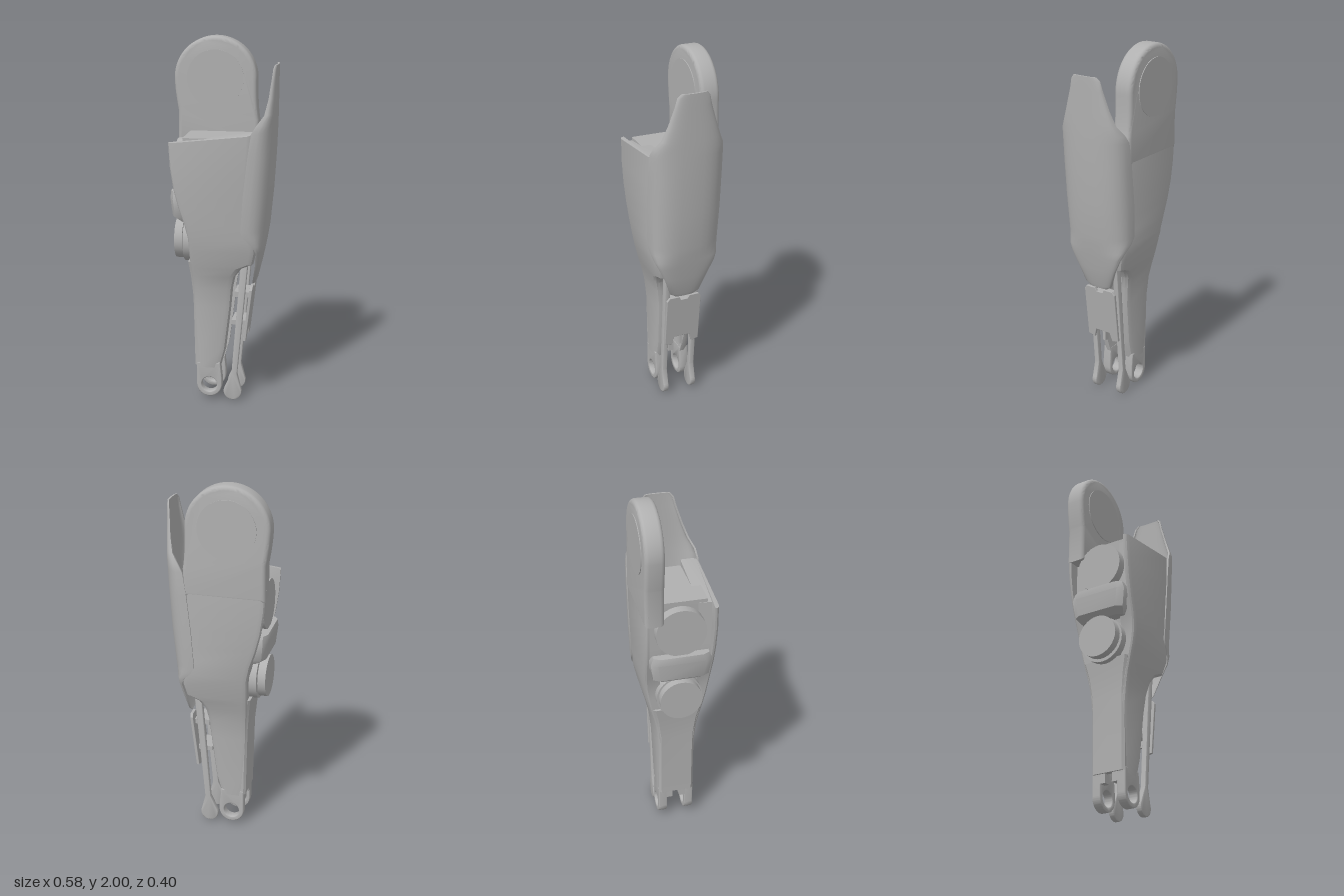
import * as THREE from 'three';
import { toCreasedNormals } from 'three/addons/utils/BufferGeometryUtils.js';

const V2 = (x, y) => new THREE.Vector2(x, y);

// Closed solid through horizontal sections (lists of [x, y, z]), lowest first
function loft(sections, crease = 0.6) {
  const flat = s => s.map(p => V2(p[0], p[2]));
  const rows = sections.map(s => (THREE.ShapeUtils.isClockWise(flat(s)) ? [...s].reverse() : s));
  const n = rows[0].length, last = rows.length - 1;
  const idx = [];
  for (let j = 0; j < last; j++) {
    for (let i = 0; i < n; i++) {
      const a = j * n + i, b = j * n + (i + 1) % n, c = b + n, d = a + n;
      idx.push(a, d, b, b, d, c);
    }
  }
  THREE.ShapeUtils.triangulateShape(flat(rows[0]), []).forEach(([a, b, c]) => idx.push(a, b, c));
  THREE.ShapeUtils.triangulateShape(flat(rows[last]), [])
    .forEach(([a, b, c]) => idx.push(last * n + a, last * n + c, last * n + b));
  const g = new THREE.BufferGeometry();
  g.setAttribute('position', new THREE.Float32BufferAttribute(rows.flat(2), 3));
  g.setIndex(idx);
  return toCreasedNormals(g, crease);
}

// Extrusion between two z values, with an optional bevel kept inside the outline
function slab(shape, z0, z1, bevel = 0) {
  const g = new THREE.ExtrudeGeometry(shape, {
    depth: z1 - z0 - 2 * bevel, curveSegments: 28, bevelEnabled: bevel > 0,
    bevelSize: bevel, bevelThickness: bevel, bevelOffset: -bevel, bevelSegments: 4,
  });
  g.translate(0, 0, z0 + bevel);
  return toCreasedNormals(g, 0.6);
}

export function createModel() {
  const group = new THREE.Group();
  const grey = new THREE.MeshStandardMaterial({ color: 0xb0b0b0 });
  const add = (name, geo) => {
    const m = new THREE.Mesh(geo, grey);
    m.name = name;
    group.add(m);
    return m;
  };
  const box = (name, x0, x1, y0, y1, z0, z1) =>
    add(name, new THREE.BoxGeometry(x1 - x0, y1 - y0, z1 - z0)
      .translate((x0 + x1) / 2, (y0 + y1) / 2, (z0 + z1) / 2));

  // Side plates: y, left x, right x, inner z, outer z
  const plateRows = [
    [0.19, -0.14, -0.01, 0.05, 0.1], [0.3, -0.145, 0.02, 0.06, 0.102],
    [0.55, -0.152, 0.05, 0.07, 0.107], [0.66, -0.155, 0.06, 0.075, 0.118],
    [0.73, -0.16, 0.075, 0.08, 0.132], [0.78, -0.163, 0.11, 0.09, 0.145],
    [0.81, -0.165, 0.175, 0.09, 0.152], [0.88, -0.168, 0.19, 0.1, 0.168],
    [0.95, -0.172, 0.18, 0.1, 0.18], [1.03, -0.19, 0.15, 0.1, 0.188],
    [1.12, -0.22, 0.15, 0.1, 0.192], [1.22, -0.245, 0.155, 0.1, 0.195],
    [1.34, -0.262, 0.165, 0.1, 0.197], [1.49, -0.27, 0.175, 0.1, 0.195],
  ];
  for (const s of [1, -1]) {
    const rows = plateRows.map(([y, l, r, zi, zo], j) => {
      // the open left lip is thin, the right edge is rounded
      const lip = y > 1.05 ? zo - 0.025 : zi;
      const core = y > 1.05 ? Math.max(l + 0.015, -0.205) : l + 0.01;
      const top = x => (j === plateRows.length - 1 ? y - 0.02 + Math.max(0, x) * 0.3 : y);
      return [[l, lip], [core, lip], [core + 0.005, zi], [r, zi], [r, zo - 0.025], [r - 0.008, zo - 0.01],
        [r - 0.03, zo], [l + 0.025, zo], [l + 0.006, zo - 0.007], [l, zo - 0.015]]
        .map(([x, z]) => [x, top(x), z * s]);
    });
    add(s > 0 ? 'frontPlate' : 'backPlate', loft(rows, 0.5));

    // Ankle eye at the end of each plate
    const eye = new THREE.Shape();
    eye.moveTo(-0.01, 0.22);
    eye.lineTo(-0.14, 0.22);
    eye.lineTo(-0.14, 0.09);
    eye.absarc(-0.07, 0.09, 0.07, Math.PI, Math.PI * 2, false);
    eye.lineTo(0, 0.13);
    eye.holes.push(new THREE.Path().absarc(-0.07, 0.09, 0.043, 0, Math.PI * 2, true));
    add('ankleEye', slab(eye, s > 0 ? 0.05 : -0.1, s > 0 ? 0.1 : -0.05, 0.006));

    // Slim lever with a teardrop end
    const lever = new THREE.Shape();
    lever.moveTo(0.145, 0.82);
    lever.lineTo(0.105, 0.82);
    lever.lineTo(0.054, 0.16);
    lever.absarc(0.06, 0.055, 0.05, Math.PI * 0.87, Math.PI * 2.13, false);
    lever.lineTo(0.085, 0.16);
    add('lever', slab(lever, s > 0 ? 0.068 : -0.098, s > 0 ? 0.098 : -0.068, 0.005));

    // Small tabs under the calf wall
    box('calfTab', -0.14, -0.1, 0.15, 0.21, s > 0 ? 0.02 : -0.055, s > 0 ? 0.055 : -0.02);
  }

  // Solid core between the plates
  const coreRows = [[0.76, -0.15, 0.08, 0.1], [0.82, -0.15, 0.15, 0.12], [0.9, -0.15, 0.17, 0.13],
    [1.05, -0.165, 0.14, 0.13], [1.2, -0.19, 0.145, 0.15], [1.49, -0.2, 0.17, 0.15]];
  add('core', loft(coreRows.map(([y, l, r, w]) =>
    [[l, y, -w], [r, y, -w], [r, y, w], [l, y, w]])));

  // Knee disc rising from the back plate
  const knee = new THREE.Shape();
  knee.moveTo(-0.27, 1.4);
  knee.lineTo(0.17, 1.4);
  knee.lineTo(0.172, 1.55);
  knee.quadraticCurveTo(0.158, 1.62, 0.16, 1.775);
  knee.absarc(-0.065, 1.775, 0.225, 0, Math.PI, false);
  knee.quadraticCurveTo(-0.288, 1.7, -0.27, 1.6);
  add('kneeDisc', slab(knee, -0.197, -0.092, 0.022));
  for (const z of [-0.197, -0.092]) {
    add('kneeCap', new THREE.CylinderGeometry(0.155, 0.155, 0.008, 40)
      .rotateX(Math.PI / 2).translate(-0.065, 1.775, z));
  }

  // Curved shin guard: y, edge x, outermost x, half width
  const guardRows = [
    [0.68, 0.165, 0.178, 0.055], [0.7, 0.168, 0.186, 0.085], [0.8, 0.185, 0.21, 0.122],
    [0.88, 0.192, 0.226, 0.16], [0.92, 0.175, 0.234, 0.178], [0.96, 0.135, 0.241, 0.188],
    [1.0, 0.115, 0.248, 0.194], [1.2, 0.128, 0.267, 0.2], [1.4, 0.15, 0.279, 0.2],
    [1.53, 0.17, 0.284, 0.198], [1.57, 0.195, 0.285, 0.19], [1.62, 0.232, 0.286, 0.162],
    [1.7, 0.25, 0.287, 0.132], [1.8, 0.262, 0.289, 0.1], [1.85, 0.268, 0.29, 0.088], [1.87, 0.274, 0.29, 0.07],
  ];
  const N = 16;
  add('shinGuard', loft(guardRows.map(([y, e, o, w]) => {
    const arc = t => {
      const pts = [];
      for (let i = 0; i <= N; i++) {
        const a = (i / N - 0.5) * Math.PI, s = Math.sin(a);
        const c = Math.max(0, Math.cos(a));
        pts.push([e + (o - t - e) * Math.pow(c, 0.75), y, Math.sign(s) * (w - t) * Math.pow(Math.abs(s), 0.75)]);
      }
      return pts;
    };
    return [...arc(0), ...arc(0.01).reverse()];
  }), 0.7));

  // Calf wall closing the lower leg on one side
  add('calfWall', loft([[0.2, -0.15, 0.098], [0.6, -0.158, 0.1], [0.72, -0.168, 0.115], [0.81, -0.18, 0.135]]
    .map(([y, x, w]) => [[x, y, -w + 0.012], [x, y, w - 0.012], [x + 0.012, y, w],
      [x + 0.03, y, w], [x + 0.03, y, -w], [x + 0.012, y, -w]])));

  // Stepped round drums on the open side
  const drum = (name, y, x0, x1, r) => add(name, new THREE.CylinderGeometry(r, r, x1 - x0, 32)
    .rotateZ(Math.PI / 2).translate((x0 + x1) / 2, y, 0));
  drum('upperDrum', 1.33, -0.25, -0.18, 0.135);
  drum('lowerDrum', 0.91, -0.21, -0.13, 0.125);
  drum('lowerDrumNeck', 0.91, -0.22, -0.2, 0.09);
  drum('lowerDrumFace', 0.915, -0.258, -0.215, 0.115);

  // Slanted flap between the drums
  add('drumFlap', loft([[1.03, -0.225, -0.17, 0.13], [1.06, -0.262, -0.18, 0.15],
    [1.16, -0.272, -0.2, 0.165], [1.2, -0.27, -0.225, 0.15]]
    .map(([y, l, r, w]) => [[l, y, -w + 0.035], [l, y, w - 0.035], [l + 0.02, y, w],
      [r, y, w], [r, y, -w], [l + 0.02, y, -w]])));

  // Hinged plate behind the levers, notched at the bottom, with its struts
  const hatch = new THREE.Shape([
    V2(-0.1, 0.36), V2(-0.06, 0.35), V2(-0.045, 0.4), V2(0.045, 0.4), V2(0.06, 0.35), V2(0.1, 0.36),
    V2(0.1, 0.65), V2(0.085, 0.67), V2(0.03, 0.67), V2(0.02, 0.65), V2(-0.02, 0.65), V2(-0.03, 0.67),
    V2(-0.085, 0.67), V2(-0.1, 0.65)]);
  const hatchGeo = slab(hatch, -0.008, 0.008, 0.003).rotateY(Math.PI / 2);
  const p = hatchGeo.attributes.position;
  for (let i = 0; i < p.count; i++) p.setX(i, p.getX(i) + 0.125 + (p.getY(i) - 0.36) * 0.12);
  hatchGeo.computeVertexNormals();
  add('hatch', hatchGeo);
  box('hatchStrut', 0.05, 0.14, 0.44, 0.465, -0.065, 0.065);
  box('hatchStrut', 0.065, 0.155, 0.6, 0.63, -0.065, 0.065);
  box('hatchPeg', 0.1, 0.125, 0.34, 0.45, -0.01, 0.01);

  return group;
}
